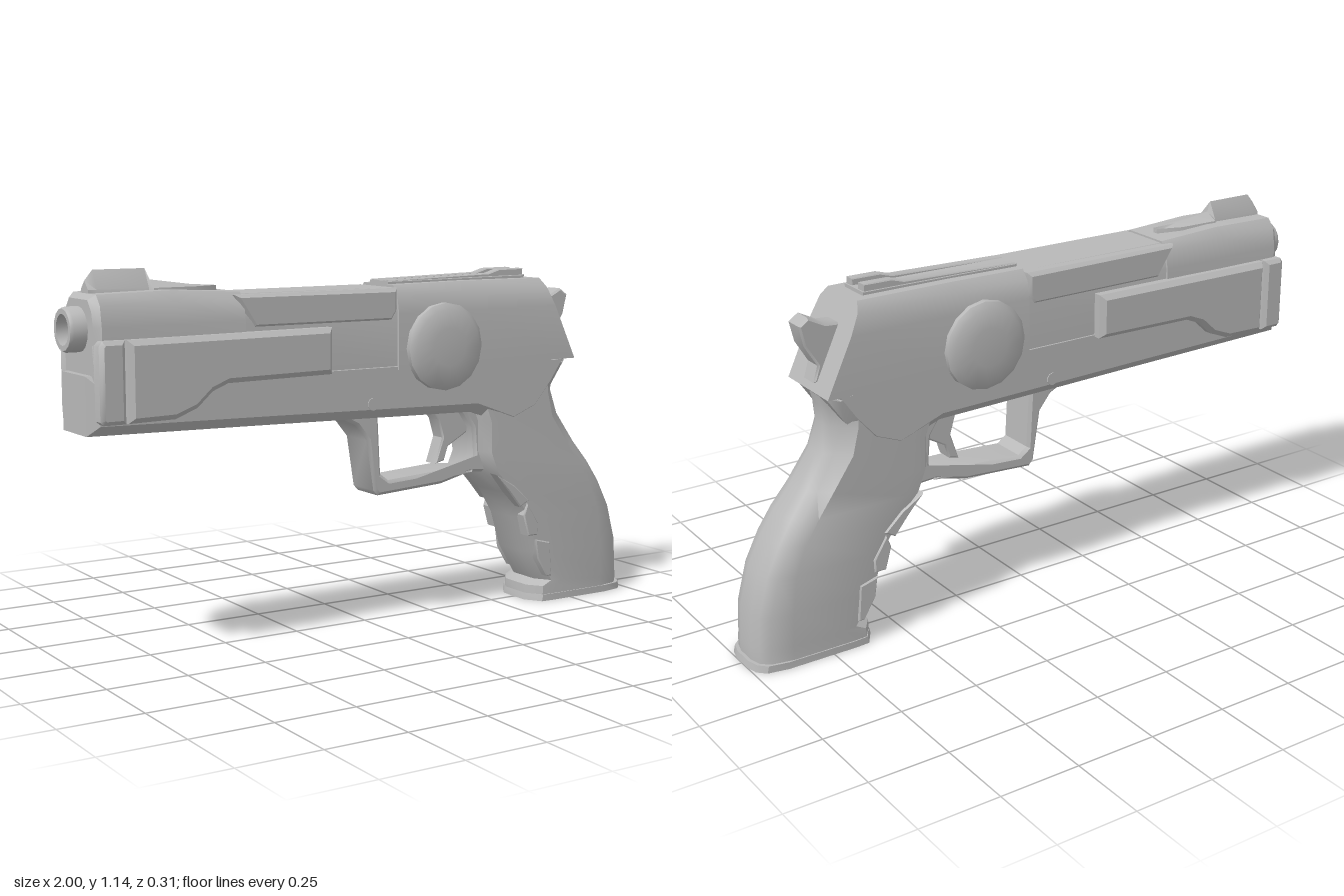
import * as THREE from 'three';
import { toCreasedNormals } from 'three/addons/utils/BufferGeometryUtils.js';

const gunmetal = new THREE.MeshStandardMaterial({ color: 0xb8b8b8 });
gunmetal.name = 'gunmetal grey';

export function createModel() {
  const group = new THREE.Group();

  const add = (name, geometry, crease = 0.6) => {
    const mesh = new THREE.Mesh(toCreasedNormals(geometry, crease), gunmetal);
    mesh.name = name;
    group.add(mesh);
    return mesh;
  };

  // Side outline extruded across z from z0 to z1 with a chamfered rim
  const slab = (name, pts, z0, z1, bevel = 0.01, hole = null, crease = 0.6) => {
    const shape = new THREE.Shape(pts.map(p => new THREE.Vector2(...p)));
    if (hole) shape.holes.push(new THREE.Path(hole.map(p => new THREE.Vector2(...p))));
    const g = new THREE.ExtrudeGeometry(shape, {
      depth: z1 - z0 - 2 * bevel, bevelEnabled: bevel > 0, bevelThickness: bevel,
      bevelSize: bevel, bevelOffset: -bevel, bevelSegments: 1,
    });
    g.translate(0, 0, z0 + bevel);
    return add(name, g, crease);
  };

  // Skin through rings of equal point count, closed at both ends
  const loft = (name, rings, crease = 0.6) => {
    const n = rings[0].length, pos = [], idx = [];
    rings.forEach(r => r.forEach(p => pos.push(...p)));
    for (let i = 0; i < rings.length - 1; i++)
      for (let j = 0; j < n; j++) {
        const a = i * n + j, b = i * n + (j + 1) % n;
        idx.push(a, b, a + n, b, b + n, a + n);
      }
    const last = (rings.length - 1) * n;
    for (let j = 1; j < n - 1; j++) idx.push(0, j + 1, j, last, last + j, last + j + 1);
    // Turn the faces outward if the enclosed volume is negative
    const v = k => new THREE.Vector3().fromArray(pos, idx[k] * 3);
    let volume = 0;
    for (let k = 0; k < idx.length; k += 3) volume += v(k).dot(v(k + 1).cross(v(k + 2)));
    if (volume < 0) idx.reverse();
    const g = new THREE.BufferGeometry();
    g.setAttribute('position', new THREE.Float32BufferAttribute(pos, 3));
    g.setIndex(idx);
    return add(name, g, crease);
  };

  const mirrorRing = half => [...half, ...half.slice().reverse().map(([x, y, z]) => [x, y, -z])];

  // Slide: three stretches with rounded shoulders, the last with a raked rear face
  const slideRing = (x, top, w, low = 0.81, slant = 0) => mirrorRing(
    [[w, low], [w, 0.985], [w - 0.01, top - 0.03], [w - 0.035, top]]
      .map(([z, y]) => [x + slant * (top - y), y, z]));
  loft('slideFront', [
    slideRing(-0.95, 1.06, 0.1), slideRing(-0.93, 1.075, 0.115),
    slideRing(-0.7, 1.08, 0.118), slideRing(-0.48, 1.068, 0.116)]);
  loft('slideMiddle', [slideRing(-0.5, 1.062, 0.11), slideRing(0.06, 1.062, 0.11)]);
  slab('ejectionCover', [[-0.51, 1.06], [-0.45, 0.96], [0.03, 0.96], [0.05, 0.99], [0.05, 1.062]],
    -0.116, 0.116, 0.012);
  loft('slideRear', [
    slideRing(0.05, 1.07, 0.118), slideRing(0.3, 1.074, 0.12), slideRing(0.615, 1.074, 0.12, 0.81, 0.47)]);

  // Muzzle: hollow barrel end
  const muzzle = add('muzzle', new THREE.LatheGeometry(
    [[0.065, 0.9], [0.065, 0.99], [0.06, 1], [0.045, 1], [0.045, 0.93], [0, 0.93]]
      .map(p => new THREE.Vector2(...p)), 16));
  muzzle.rotation.z = Math.PI / 2;
  muzzle.position.y = 0.975;

  // Front sight: sharp ridge with a long tail
  loft('frontSight', [
    [-0.93, 1.11, 0.028], [-0.905, 1.14, 0.03], [-0.745, 1.14, 0.032],
    [-0.735, 1.108, 0.045], [-0.6, 1.09, 0.042], [-0.52, 1.07, 0.01],
  ].map(([x, y, w]) => [[x, 1.06, w], [x, 1.085, w * 0.9], [x, y, 0], [x, 1.085, -w * 0.9], [x, 1.06, -w]]));

  // Rear sight rails on a flat strip
  slab('railStrip', [[0.05, 1.06], [0.05, 1.08], [0.58, 1.085], [0.58, 1.06]], -0.052, 0.052, 0.003);
  for (const s of [-1, 1])
    slab('rearSightRail', [[0.055, 1.06], [0.055, 1.082], [0.44, 1.092], [0.48, 1.104], [0.575, 1.105], [0.575, 1.06]],
      s * 0.034 - 0.016, s * 0.034 + 0.016, 0.003);

  // Hammer
  slab('hammer', [[0.62, 1.0], [0.69, 1.005], [0.745, 1.033], [0.775, 1.012], [0.76, 0.95],
    [0.72, 0.885], [0.735, 0.835], [0.64, 0.835]], -0.034, 0.034, 0.006);

  // Frame under the slide
  slab('frame', [[-0.97, 0.68], [-0.4, 0.67], [0.35, 0.655], [0.5, 0.6], [0.6, 0.64],
    [0.67, 0.72], [0.725, 0.8], [0.725, 0.82], [0.6, 0.85], [-0.97, 0.85]], -0.112, 0.112, 0.03);

  // Side panels, nose caps, round covers and pins on both sides
  for (const s of [-1, 1]) {
    const zs = (a, b) => (s > 0 ? [a, b] : [-b, -a]);
    slab('sidePanel', [[-0.865, 0.715], [-0.72, 0.718], [-0.65, 0.745], [-0.6, 0.79], [-0.55, 0.81],
      [-0.2, 0.815], [-0.2, 0.955], [-0.865, 0.95]], ...zs(0.08, 0.151), 0.016);
    slab('noseCap', [[-0.95, 0.725], [-0.94, 0.715], [-0.872, 0.715], [-0.872, 0.95], [-0.94, 0.95], [-0.95, 0.935]],
      ...zs(0.06, 0.148), 0.012);
    const cover = add('roundCover', new THREE.LatheGeometry(
      [[0.137, 0.09], [0.137, 0.134], [0.118, 0.149], [0.06, 0.156], [0, 0.157]]
        .map(p => new THREE.Vector2(...p)), 16), 0.7);
    cover.rotation.x = s * Math.PI / 2;
    cover.position.set(0.215, 0.875, 0);
    const pin = add('framePin', new THREE.CylinderGeometry(0.02, 0.02, 0.03, 10));
    pin.rotation.x = Math.PI / 2;
    pin.position.set(-0.04, 0.71, s * 0.1);
  }
  slab('noseBlock', [[-0.945, 0.72], [-0.87, 0.72], [-0.87, 0.95], [-0.945, 0.95]], -0.1, 0.1, 0.01);

  // Trigger guard and trigger
  slab('triggerGuard', [[-0.15, 0.68], [-0.07, 0.64], [-0.03, 0.59], [-0.005, 0.43], [0.01, 0.413],
    [0.25, 0.428], [0.36, 0.455], [0.45, 0.45], [0.45, 0.7], [-0.15, 0.7]], -0.068, 0.068, 0.01,
  [[0.01, 0.665], [0.33, 0.66], [0.37, 0.6], [0.378, 0.51], [0.36, 0.467], [0.3, 0.474], [0.05, 0.458], [0.02, 0.48]]);
  slab('trigger', [[0.22, 0.68], [0.26, 0.63], [0.278, 0.57], [0.25, 0.487], [0.285, 0.495],
    [0.3, 0.54], [0.38, 0.585], [0.38, 0.68]], -0.03, 0.03, 0.005);

  // Grip: stacked sections with a narrower back strap
  const gripRing = ([y, front, mid, back, w, wb]) => mirrorRing([
    [front, y, 0.055], [front + 0.035, y, w * 0.97], [front + 0.08, y, w], [mid, y, w],
    [back - 0.035, y, wb], [back - 0.01, y, wb * 0.75], [back, y, wb * 0.35]]);
  loft('grip', [
    [0.015, 0.6, 0.88, 0.985, 0.108, 0.094],
    [0.05, 0.602, 0.88, 0.985, 0.108, 0.094],
    [0.067, 0.635, 0.88, 0.983, 0.109, 0.094],
    [0.17, 0.572, 0.875, 0.977, 0.11, 0.095],
    [0.29, 0.535, 0.86, 0.945, 0.11, 0.094],
    [0.38, 0.48, 0.825, 0.9, 0.11, 0.092],
    [0.45, 0.41, 0.78, 0.855, 0.11, 0.086],
    [0.52, 0.382, 0.73, 0.8, 0.11, 0.077],
    [0.62, 0.38, 0.66, 0.735, 0.11, 0.064],
    [0.7, 0.35, 0.64, 0.708, 0.11, 0.062],
    [0.76, 0.35, 0.635, 0.712, 0.11, 0.066],
    [0.815, 0.35, 0.64, 0.725, 0.11, 0.085],
  ].map(gripRing), 0.75);
  loft('gripBase', [
    [0, 0.595, 0.9, 1.0, 0.112, 0.1], [0.022, 0.6, 0.9, 0.995, 0.112, 0.1]].map(gripRing));

  // Raised finger inserts along the grip front
  [
    [[0.43, 0.447], [0.505, 0.405], [0.565, 0.35], [0.53, 0.33], [0.485, 0.385]],
    [[0.56, 0.34], [0.605, 0.27], [0.603, 0.23], [0.565, 0.23], [0.545, 0.3]],
    [[0.595, 0.215], [0.655, 0.2], [0.665, 0.085], [0.645, 0.085], [0.605, 0.15]],
  ].forEach(pts => slab('fingerInsert', pts, -0.115, 0.115, 0.004));

  return group;
}
